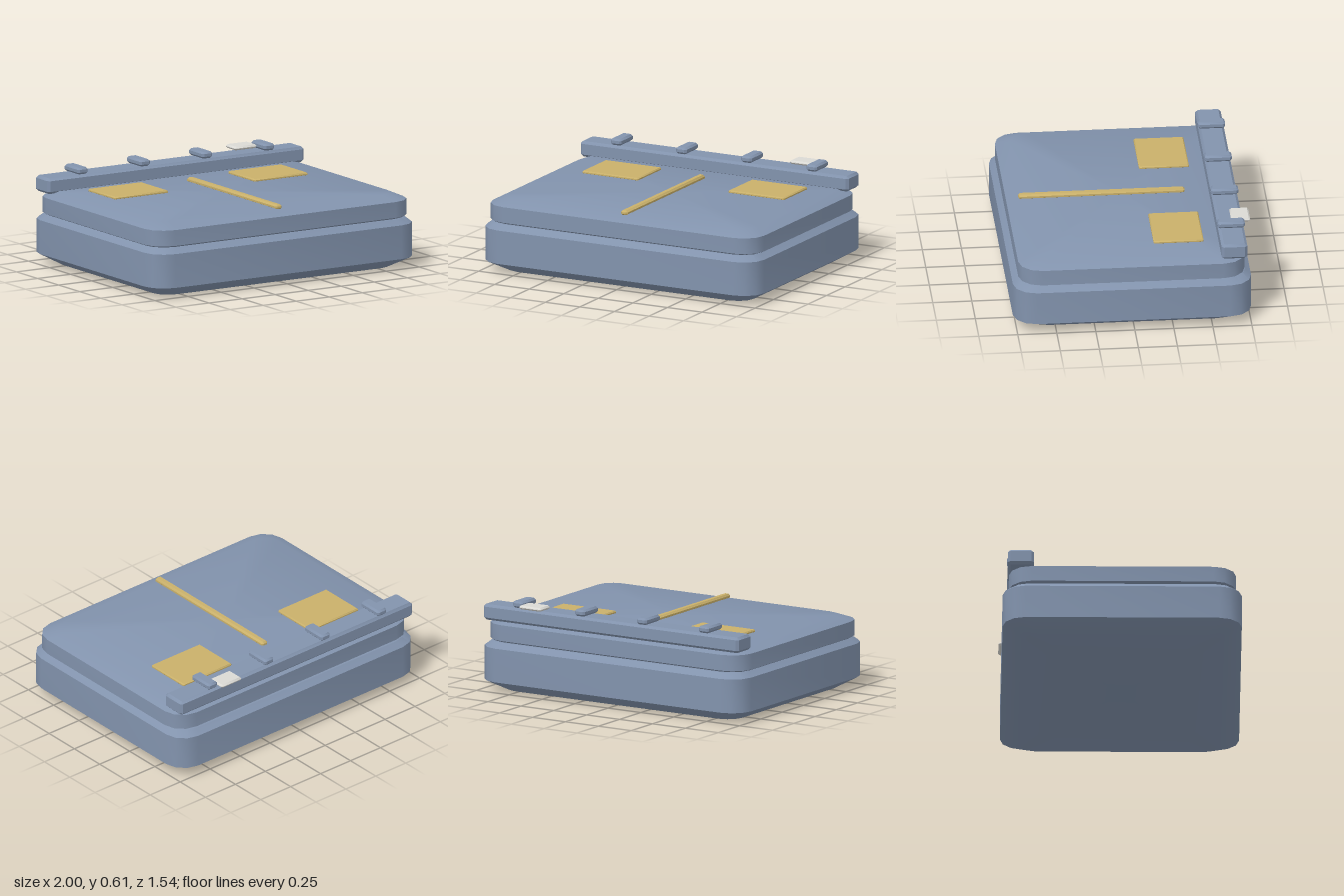
import * as THREE from 'three';
import { toCreasedNormals } from 'three/addons/utils/BufferGeometryUtils.js';

const blue = new THREE.MeshStandardMaterial({ color: 0x8293ad });
const gold = new THREE.MeshStandardMaterial({ color: 0xc9b06a });
const white = new THREE.MeshStandardMaterial({ color: 0xdad9d4 });

// Closed stack of rounded-rectangle rings, each [halfX, halfZ, cornerRadius, y], bottom to top
function loft(rings, cornerSegs) {
  const pos = [], idx = [];
  for (const [hx, hz, r, y] of rings) {
    for (let q = 0; q < 4; q++) {
      const sx = q === 0 || q === 3 ? 1 : -1, sz = q < 2 ? 1 : -1;
      for (let s = 0; s <= cornerSegs; s++) {
        const a = (q + s / cornerSegs) * Math.PI / 2;
        pos.push(sx * (hx - r) + r * Math.cos(a), y, sz * (hz - r) + r * Math.sin(a));
      }
    }
  }
  const n = 4 * (cornerSegs + 1), last = (rings.length - 1) * n;
  const bottom = rings.length * n, top = bottom + 1;
  pos.push(0, rings[0][3], 0, 0, rings[rings.length - 1][3], 0);
  for (let i = 0; i < n; i++) {
    const j = (i + 1) % n;
    for (let k = 0; k < last; k += n) {
      idx.push(k + i, k + n + i, k + n + j, k + i, k + n + j, k + j);
    }
    idx.push(bottom, i, j, top, last + j, last + i);
  }
  const g = new THREE.BufferGeometry();
  g.setAttribute('position', new THREE.Float32BufferAttribute(pos, 3));
  g.setIndex(idx);
  return toCreasedNormals(g, 0.65);
}

// Box with every edge chamfered by b
function chamferBox(w, h, d, b) {
  const x = w / 2, y = h / 2, z = d / 2;
  return loft([
    [x - b, z - b, b * 0.3, -y], [x, z, b, -y + b],
    [x, z, b, y - b], [x - b, z - b, b * 0.3, y],
  ], 1);
}

export function createModel() {
  const model = new THREE.Group();
  const add = (name, geometry, material, x, y, z) => {
    const mesh = new THREE.Mesh(geometry, material);
    mesh.name = name;
    mesh.position.set(x, y, z);
    model.add(mesh);
  };

  // Body: deep base and shallower lid separated by a groove
  add('base', loft([
    [0.88, 0.645, 0.11, 0], [1, 0.763, 0.145, 0.07],
    [1, 0.763, 0.145, 0.29], [0.96, 0.725, 0.13, 0.325],
  ], 3), blue, 0, 0, 0.006);
  add('lid', loft([
    [0.95, 0.7, 0.13, 0.32], [0.98, 0.725, 0.145, 0.335],
    [0.98, 0.725, 0.145, 0.438], [0.9, 0.63, 0.11, 0.475],
  ], 3), blue, 0, 0, 0.008);

  // Gold trim on the lid
  for (const side of [-1, 1]) {
    add(side > 0 ? 'leftPanel' : 'rightPanel',
      chamferBox(0.405, 0.022, 0.32, 0.007), gold, side * 0.529, 0.48, -0.305);
  }
  add('centreStrip', chamferBox(0.048, 0.034, 1.065, 0.011), gold, 0, 0.482, 0.125);

  // Rear rail with its clips
  add('rearRail', chamferBox(1.94, 0.102, 0.165, 0.016), blue, 0, 0.512, -0.642);
  for (let i = 0; i < 4; i++) {
    add('railClip', chamferBox(0.077, 0.043, 0.174, 0.012), blue, -0.708 + i * 0.471, 0.588, -0.642);
  }

  // Pale tag projecting behind the rail
  add('tag', chamferBox(0.167, 0.024, 0.122, 0.01), white, 0.584, 0.583, -0.709);
  return model;
}
